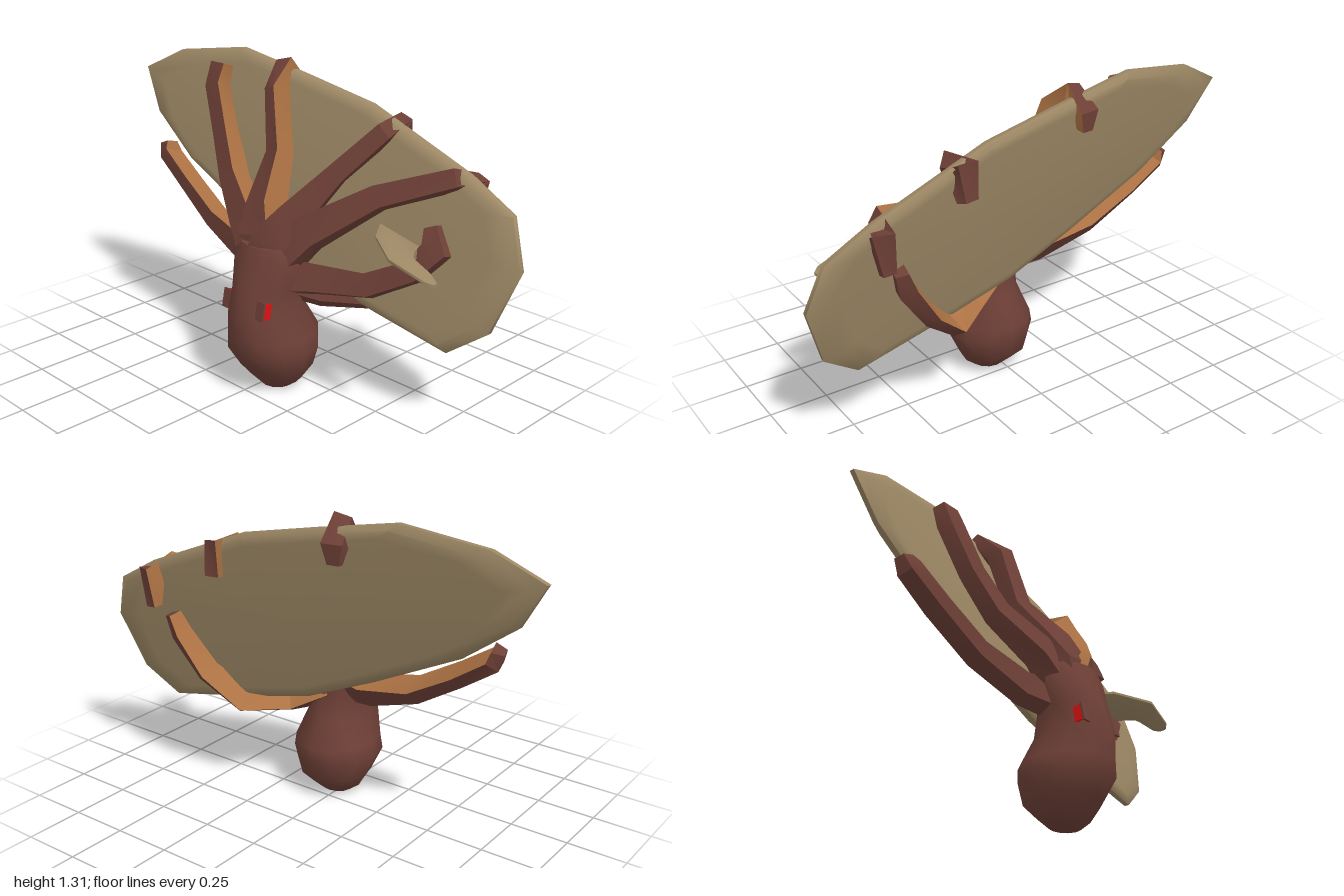
import * as THREE from 'three';
import { toCreasedNormals } from 'three/addons/utils/BufferGeometryUtils.js';

const V = (x, y, z) => new THREE.Vector3(x, y, z);

// Skin a surface over successive rings of points.
function skin(rings, { closed = true, caps = true, crease = 0.5 } = {}) {
  const pos = [];
  const tri = (...p) => p.forEach((v) => pos.push(v.x, v.y, v.z));
  const n = rings[0].length;
  for (let i = 0; i < rings.length - 1; i++) {
    for (let j = 0; j < (closed ? n : n - 1); j++) {
      const k = (j + 1) % n;
      const a = rings[i][j], b = rings[i][k], c = rings[i + 1][k], d = rings[i + 1][j];
      tri(a, d, c);
      tri(a, c, b);
    }
  }
  const middle = (r) => r.reduce((s, p) => s.add(p), V(0, 0, 0)).divideScalar(n);
  if (caps) {
    const first = rings[0], last = rings[rings.length - 1];
    const m0 = middle(first), m1 = middle(last);
    for (let j = 0; j < n; j++) {
      const k = (j + 1) % n;
      tri(m0, first[j], first[k]);
      tri(m1, last[k], last[j]);
    }
  }
  const g = new THREE.BufferGeometry();
  g.setAttribute('position', new THREE.Float32BufferAttribute(pos, 3));
  return toCreasedNormals(g, crease);
}

// Bevelled plate: an outline scaled about its centre in several layers.
function plate(outline, layers, place) {
  const cu = outline.reduce((s, p) => s + p[0], 0) / outline.length;
  const cv = outline.reduce((s, p) => s + p[1], 0) / outline.length;
  return skin(layers.map(([s, off]) =>
    outline.map(([u, v]) => place(cu + (u - cu) * s, cv + (v - cv) * s, off))), { crease: 0.8 });
}

export function createModel() {
  const model = new THREE.Group();
  const material = (name, color) => {
    const m = new THREE.MeshStandardMaterial({ color, side: THREE.DoubleSide });
    m.name = name;
    return m;
  };
  const skinMat = material('dark reddish skin', 0x6e4037);
  const underMat = material('orange underside', 0xae7344);
  const shellMat = material('tan shell', 0x9d8865);
  const eyeMat = material('red eye', 0xe01010);

  const add = (name, geometry, mat, parent = model) => {
    const mesh = new THREE.Mesh(geometry, mat);
    mesh.name = name;
    parent.add(mesh);
    return mesh;
  };

  // Body: rings given as y, back z, front z, half width
  const sections = [
    [0.003, 0.04, 0.16, 0.07], [0.04, 0.0, 0.195, 0.12], [0.1, -0.065, 0.25, 0.155],
    [0.19, -0.083, 0.308, 0.19], [0.25, -0.09, 0.312, 0.175], [0.37, -0.02, 0.322, 0.137],
    [0.47, 0.0, 0.293, 0.137], [0.58, 0.0, 0.26, 0.16], [0.645, 0.01, 0.238, 0.13],
  ];
  const rings = sections.map(([y, back, front, w]) => Array.from({ length: 12 }, (_, i) => {
    const t = (i / 12) * Math.PI * 2;
    return V(0.03 + w * Math.cos(t), y, (back + front) / 2 + ((front - back) / 2) * Math.sin(t));
  }));
  add('body', skin(rings, { crease: 0.9 }), skinMat);

  // Underside patch between the arms
  const mouth = [0.8, 0.3].map((s, i) => rings[rings.length - 1].map((p) =>
    V(0.03 + (p.x - 0.03) * s, 0.65 + i * 0.01, 0.11 + (p.z - 0.124) * s)));
  add('mouth', skin(mouth), underMat);

  // Eyes on the sides of the head, each behind a thin lid
  for (const s of [1, -1]) {
    const side = s > 0 ? 'left' : 'right';
    const eye = add(side + 'Eye', new THREE.BoxGeometry(0.008, 0.066, 0.038), eyeMat);
    eye.position.set(0.03 + s * 0.111, 0.402, 0.251);
    eye.rotation.x = -0.2;
    const lid = add(side + 'Lid', new THREE.BoxGeometry(0.042, 0.078, 0.009), skinMat);
    lid.position.set(0.03 + s * 0.097, 0.407, 0.276);
    lid.rotation.x = -0.2;
  }

  // Arm: points are x, y, z, width, depth; the orange face turns toward the target
  function arm(name, points, target) {
    const group = new THREE.Group();
    group.name = name;
    model.add(group);
    const path = points.map(([x, y, z]) => V(x, y, z));
    const inner = [], outer = [];
    path.forEach((p, i) => {
      const t = path[Math.min(i + 1, path.length - 1)].clone().sub(path[Math.max(i - 1, 0)]).normalize();
      const n = target.clone().sub(p);
      n.addScaledVector(t, -n.dot(t)).normalize();
      const s = t.clone().cross(n);
      const [, , , w, d] = points[i];
      const at = (u, v) => p.clone().addScaledVector(s, u * w).addScaledVector(n, v * d);
      inner.push([at(0.5, 0.5), at(-0.5, 0.5)]);
      outer.push([at(-0.5, 0.5), at(-0.3, -0.5), at(0.3, -0.5), at(0.5, 0.5)]);
    });
    add('armUnderside', skin(inner, { closed: false, caps: false }), underMat, group);
    add('armSkin', skin(outer, { closed: false, crease: 0.6 }), skinMat, group);
  }
  arm('upperRightArm', [[-0.02, 0.54, 0.13, 0.17, 0.14], [-0.13, 0.67, 0.1, 0.15, 0.12],
    [-0.31, 0.81, 0.02, 0.12, 0.09], [-0.41, 0.97, -0.03, 0.11, 0.08], [-0.5, 1.16, -0.07, 0.11, 0.08],
    [-0.5, 1.25, -0.1, 0.09, 0.08]], V(0.3, 1.3, -0.3));
  arm('topRightArm', [[0.0, 0.55, 0.14, 0.17, 0.16], [-0.015, 0.66, 0.14, 0.17, 0.15],
    [-0.045, 0.76, 0.09, 0.15, 0.12], [-0.1, 0.95, -0.045, 0.11, 0.075], [-0.165, 1.19, -0.095, 0.12, 0.06],
    [-0.195, 1.262, -0.17, 0.11, 0.07], [-0.205, 1.2, -0.235, 0.07, 0.09], [-0.205, 1.13, -0.235, 0.04, 0.05]],
    V(0.6, 1.2, -0.2));
  arm('topLeftArm', [[0.06, 0.55, 0.14, 0.17, 0.16], [0.075, 0.66, 0.14, 0.17, 0.15],
    [0.12, 0.75, 0.085, 0.15, 0.12], [0.235, 0.93, -0.04, 0.12, 0.075], [0.36, 1.09, -0.17, 0.12, 0.065],
    [0.375, 1.1, -0.25, 0.15, 0.07], [0.37, 0.99, -0.275, 0.07, 0.06]], V(-0.4, 1.4, 0.18));
  arm('upperLeftArm', [[0.06, 0.54, 0.14, 0.16, 0.15], [0.2, 0.7, 0.075, 0.14, 0.12],
    [0.43, 0.87, -0.07, 0.1, 0.085], [0.69, 0.97, -0.2, 0.08, 0.07], [0.725, 0.95, -0.28, 0.1, 0.08],
    [0.71, 0.8, -0.285, 0.05, 0.05]], V(0, 1.4, -0.2));
  arm('sideLeftArm', [[0.06, 0.5, 0.12, 0.14, 0.14], [0.22, 0.51, 0.06, 0.12, 0.11],
    [0.43, 0.52, -0.02, 0.1, 0.09], [0.6, 0.61, -0.08, 0.09, 0.08], [0.68, 0.71, -0.12, 0.09, 0.1],
    [0.64, 0.79, -0.14, 0.06, 0.05]], V(0, 1.1, -0.2));
  arm('sideRightArm', [[0, 0.5, 0.12, 0.14, 0.14], [-0.18, 0.52, 0.05, 0.12, 0.1],
    [-0.42, 0.59, 0.02, 0.12, 0.07], [-0.62, 0.71, 0.0, 0.12, 0.06], [-0.77, 0.81, -0.01, 0.11, 0.06],
    [-0.79, 0.86, -0.02, 0.07, 0.05]], V(-0.2, 1.4, -0.3));
  arm('backLeftArm', [[0.05, 0.47, 0.08, 0.14, 0.12], [0.2, 0.41, 0.0, 0.14, 0.06],
    [0.36, 0.4, -0.13, 0.13, 0.05], [0.5, 0.52, -0.2, 0.1, 0.06], [0.61, 0.68, -0.235, 0.08, 0.07],
    [0.64, 0.77, -0.25, 0.06, 0.05]], V(-0.1, 1.1, -0.45));

  // Large tilted shell plate
  const shellOutline = [[-1, 1.165], [-0.8, 1.265], [-0.45, 1.315], [-0.1, 1.25], [0.25, 1.18], [0.73, 0.99],
    [0.93, 0.88], [1, 0.69], [0.92, 0.44], [0.765, 0.325], [0.41, 0.395], [0.05, 0.48], [-0.27, 0.62],
    [-0.66, 0.81], [-0.89, 0.98]];
  add('shell', plate(shellOutline,
    [[0.86, -0.035], [0.94, -0.032], [1, -0.01], [1, 0.012], [0.95, 0.03], [0.88, 0.033]],
    (x, y, off) => V(x, y, 0.05 - 0.105 * x - 0.215 * y + off)), shellMat);

  // Small blade standing out from the shell
  const bladeOutline = [[0.42, -0.09], [0.6, -0.12], [0.63, -0.05], [0.68, 0.02], [0.74, 0.05], [0.82, 0.06],
    [0.825, 0.09], [0.8, 0.11], [0.65, 0.13], [0.5, 0.03]];
  add('blade', plate(bladeOutline, [[0.75, -0.02], [1, -0.005], [1, 0.005], [0.75, 0.02]],
    (x, z, off) => V(x, 0.896 - 0.293 * x + 0.2 * z + off, z)), shellMat);

  return model;
}
